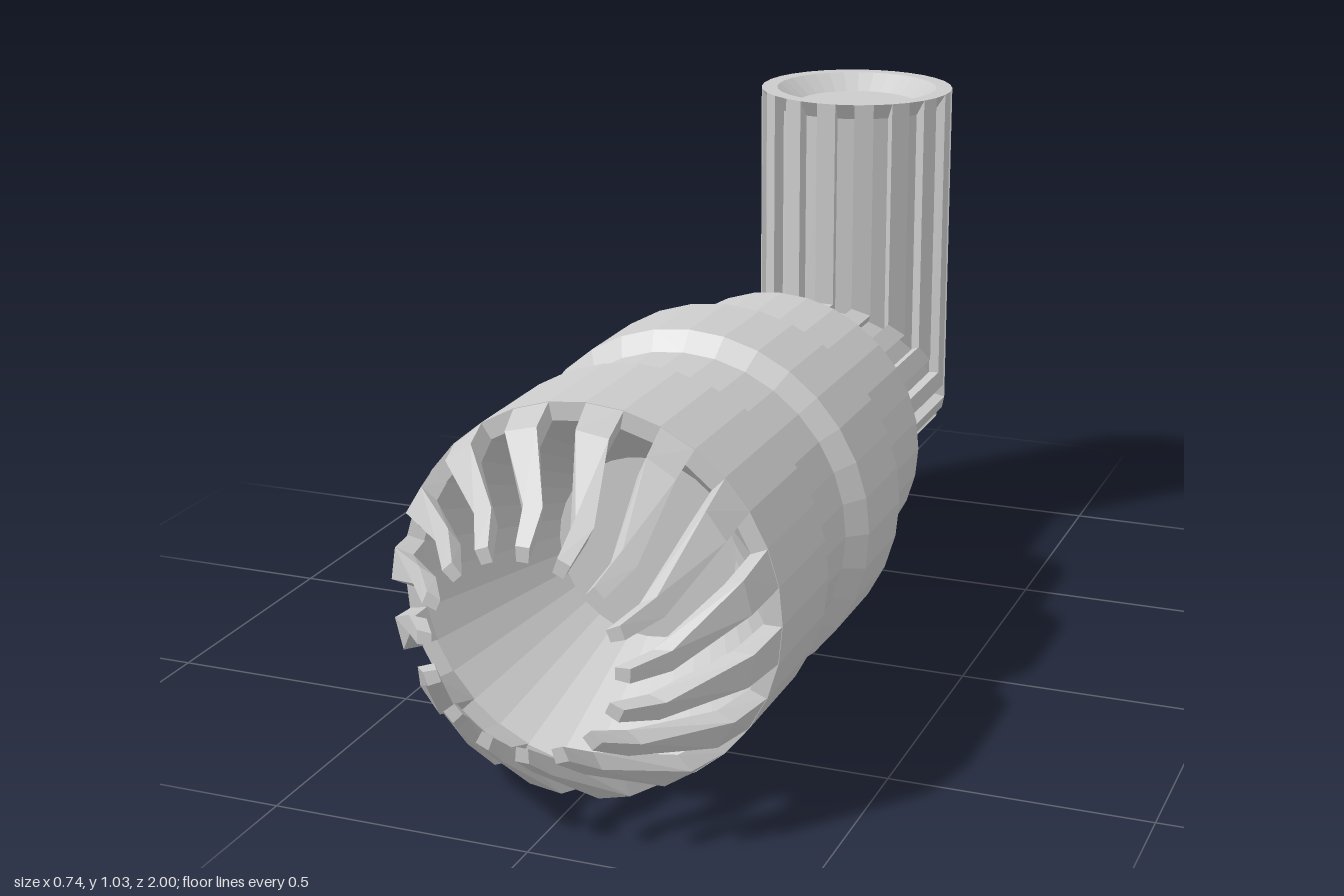
import * as THREE from 'three';

const RAD = Math.PI / 180;
const AXIS_Y = 0.37;

const material = () => new THREE.MeshStandardMaterial({ color: 0xcccccc, flatShading: true, side: THREE.DoubleSide });

function addMesh(parent, name, geometry) {
  const mesh = new THREE.Mesh(geometry, material());
  mesh.name = name;
  parent.add(mesh);
  return mesh;
}

// Revolve [radius, height] pairs around y
function lathe(profile, segments, phase = 0) {
  return new THREE.LatheGeometry(profile.map(([r, h]) => new THREE.Vector2(r, h)), segments, phase);
}

// Skin a list of equal-length closed sections (each counter-clockwise seen from
// the start of the path), optionally closing the first one
function loft(sections, capStart = false) {
  const pos = [];
  const tri = (...pts) => pts.forEach((p) => pos.push(...p));
  const n = sections[0].length;
  for (let i = 0; i < sections.length - 1; i++) {
    for (let j = 0; j < n; j++) {
      const k = (j + 1) % n;
      const a = sections[i], b = sections[i + 1];
      tri(a[j], b[j], a[k]);
      tri(a[k], b[j], b[k]);
    }
  }
  if (capStart) for (let j = 1; j < n - 1; j++) tri(sections[0][0], sections[0][j], sections[0][j + 1]);
  const g = new THREE.BufferGeometry();
  g.setAttribute('position', new THREE.Float32BufferAttribute(pos, 3));
  g.computeVertexNormals();
  return g;
}

export function createModel() {
  const model = new THREE.Group();
  model.name = 'ventedNozzle';

  // Stepped round housing with a funnel-shaped recess in its front
  const housing = addMesh(model, 'housing', lathe([
    [0, -0.32], [0.21, -0.32], [0.31, -0.29], [0.31, -0.02], [0.37, 0.035],
    [0.37, 0.23], [0.333, 0.262], [0.333, 0.44], [0.37, 0.473], [0.37, 0.72],
    [0.335, 0.72], [0.18, 0.45], [0, 0.45],
  ], 32));
  housing.rotation.x = Math.PI / 2;
  housing.position.y = AXIS_Y;

  // Ring of twisted slats closing in toward the mouth
  const slats = new THREE.Group();
  slats.name = 'slats';
  slats.position.y = AXIS_Y;
  model.add(slats);
  // z, outer radius, inner radius, angle from base, half width in degrees
  const stations = [
    [1.0, 0.2, 0.172, -18.5, 3.8],
    [0.935, 0.25, 0.215, -16, 4.2],
    [0.81, 0.35, 0.312, -3, 5.2],
    [0.715, 0.37, 0.335, 0, 5.625],
  ];
  const slatGeometry = loft(stations.map(([z, ro, ri, turn, half]) =>
    [[ri, -half], [ro, -half], [ro, half], [ri, half]].map(([r, a]) => {
      const t = (106.875 + turn + a) * RAD;
      return [r * Math.cos(t), r * Math.sin(t), z];
    })), true);
  for (let i = 0; i < 16; i++) {
    addMesh(slats, 'slat', slatGeometry).rotation.z = i * 22.5 * RAD;
  }

  // Ribbed pipe with a mitred right-angle bend
  const R = 0.213, G = 0.19, BEND_Z = -0.787, TOP = 1.03;
  const ribs = (groove) => {
    const pts = [];
    for (let i = 0; i < 16; i++) {
      for (const [a, r] of [[-5.625, R], [5.625, R], [5.625, groove], [16.875, groove]]) {
        const t = (i * 22.5 + a) * RAD;
        pts.push([r * Math.cos(t), r * Math.sin(t)]);
      }
    }
    return pts;
  };
  addMesh(model, 'elbowPipe', loft([
    ribs(G).map(([x, b]) => [x, AXIS_Y + b, -0.3]),
    ribs(G).map(([x, b]) => [x, AXIS_Y + b, BEND_Z + b]),
    ribs(G).map(([x, b]) => [x, 0.995, BEND_Z + b]),
    ribs(R).map(([x, b]) => [x, TOP, BEND_Z + b]),
  ]));

  // Dished rim on top of the pipe
  const rim = addMesh(model, 'pipeRim', lathe(
    [[R, TOP], [0.178, TOP], [0.132, TOP - 0.035], [0, TOP - 0.035]], 32, 5.625 * RAD));
  rim.position.z = BEND_Z;

  return model;
}
